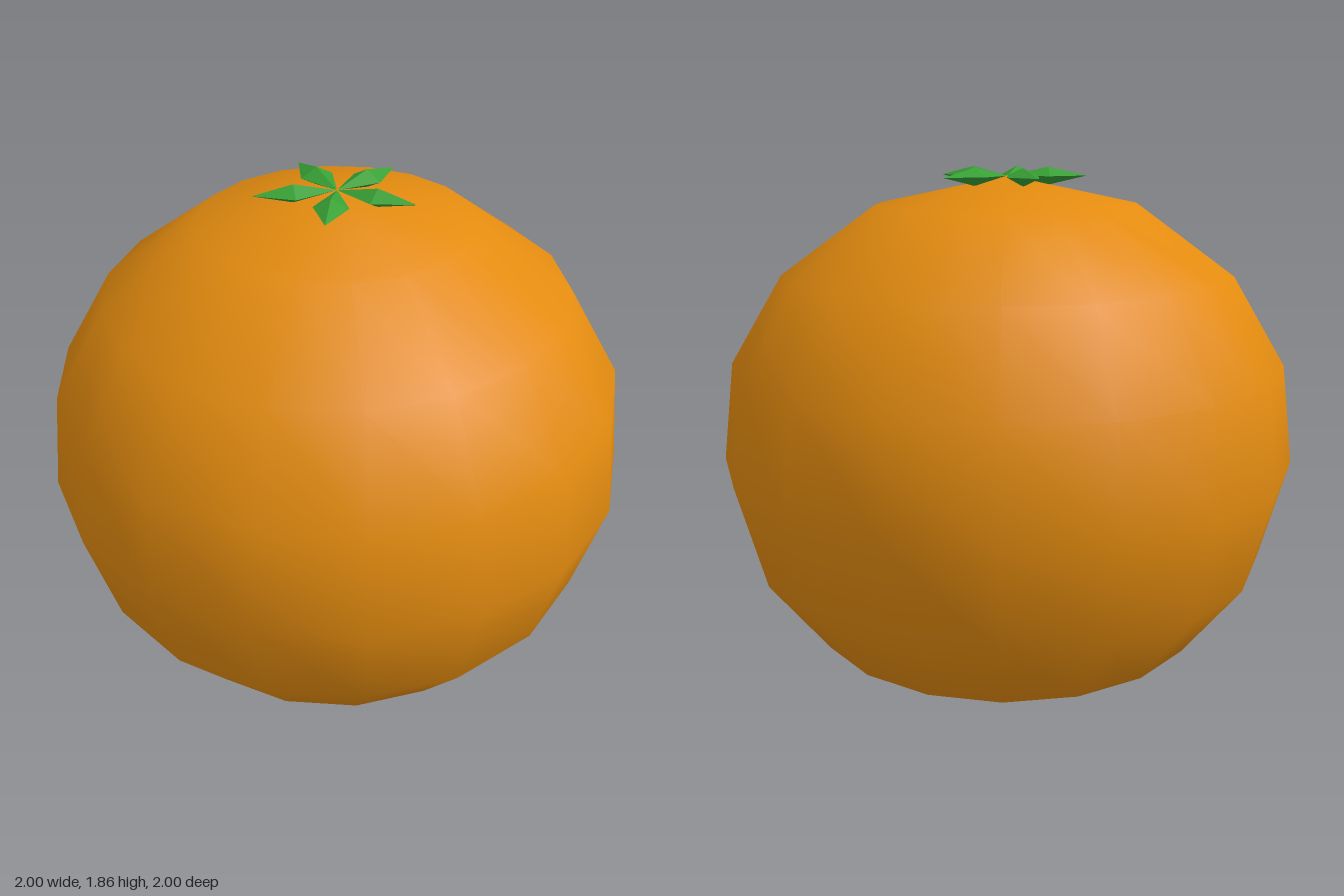
import * as THREE from 'three';
import { mergeVertices } from 'three/addons/utils/BufferGeometryUtils.js';

const SIDES = 18;
const LEAVES = 5;

// Squashed 18-sided fruit, smooth across the seam and both poles
function fruitGeometry() {
  const profile = [
    [0, 0.004], [0.393, 0.05], [0.708, 0.23], [0.912, 0.507], [1.004, 0.87],
    [0.958, 1.21], [0.776, 1.508], [0.455, 1.737], [0, 1.833],
  ].map(([r, y]) => new THREE.Vector2(r, y));
  const lathe = new THREE.LatheGeometry(profile, SIDES, THREE.MathUtils.degToRad(15));
  lathe.deleteAttribute('uv');
  lathe.deleteAttribute('normal');
  const geometry = mergeVertices(lathe, 1e-4);
  geometry.computeVertexNormals();
  return geometry;
}

// Faceted leaf pointing along +x: a diamond section tapering to both ends
function leafGeometry() {
  const base = [0, 0, 0], tip = [0.272, 0, 0];
  const ring = [[0.14, 0.03, 0], [0.14, 0, 0.057], [0.14, -0.03, 0], [0.14, 0, -0.057]];
  const corners = [];
  ring.forEach((a, i) => {
    const b = ring[(i + 1) % ring.length];
    corners.push(...base, ...b, ...a, ...tip, ...a, ...b);
  });
  const geometry = new THREE.BufferGeometry();
  geometry.setAttribute('position', new THREE.Float32BufferAttribute(corners, 3));
  geometry.computeVertexNormals();
  return geometry;
}

export function createModel() {
  const orangePeel = new THREE.MeshStandardMaterial({ color: 0xe38b0f });
  orangePeel.name = 'orange peel';
  const leafGreen = new THREE.MeshStandardMaterial({ color: 0x38a035 });
  leafGreen.name = 'leaf green';

  const model = new THREE.Group();
  model.name = 'orangeFruit';

  const fruit = new THREE.Mesh(fruitGeometry(), orangePeel);
  fruit.name = 'fruit';
  model.add(fruit);

  // Star of leaves on the crown, one pointing to -x
  const crown = new THREE.Group();
  crown.name = 'leafCrown';
  crown.position.y = 1.831;
  const leaf = leafGeometry();
  for (let i = 0; i < LEAVES; i++) {
    const mesh = new THREE.Mesh(leaf, leafGreen);
    mesh.name = `leaf${i + 1}`;
    mesh.rotation.y = Math.PI + (i * 2 * Math.PI) / LEAVES;
    crown.add(mesh);
  }
  model.add(crown);

  return model;
}
